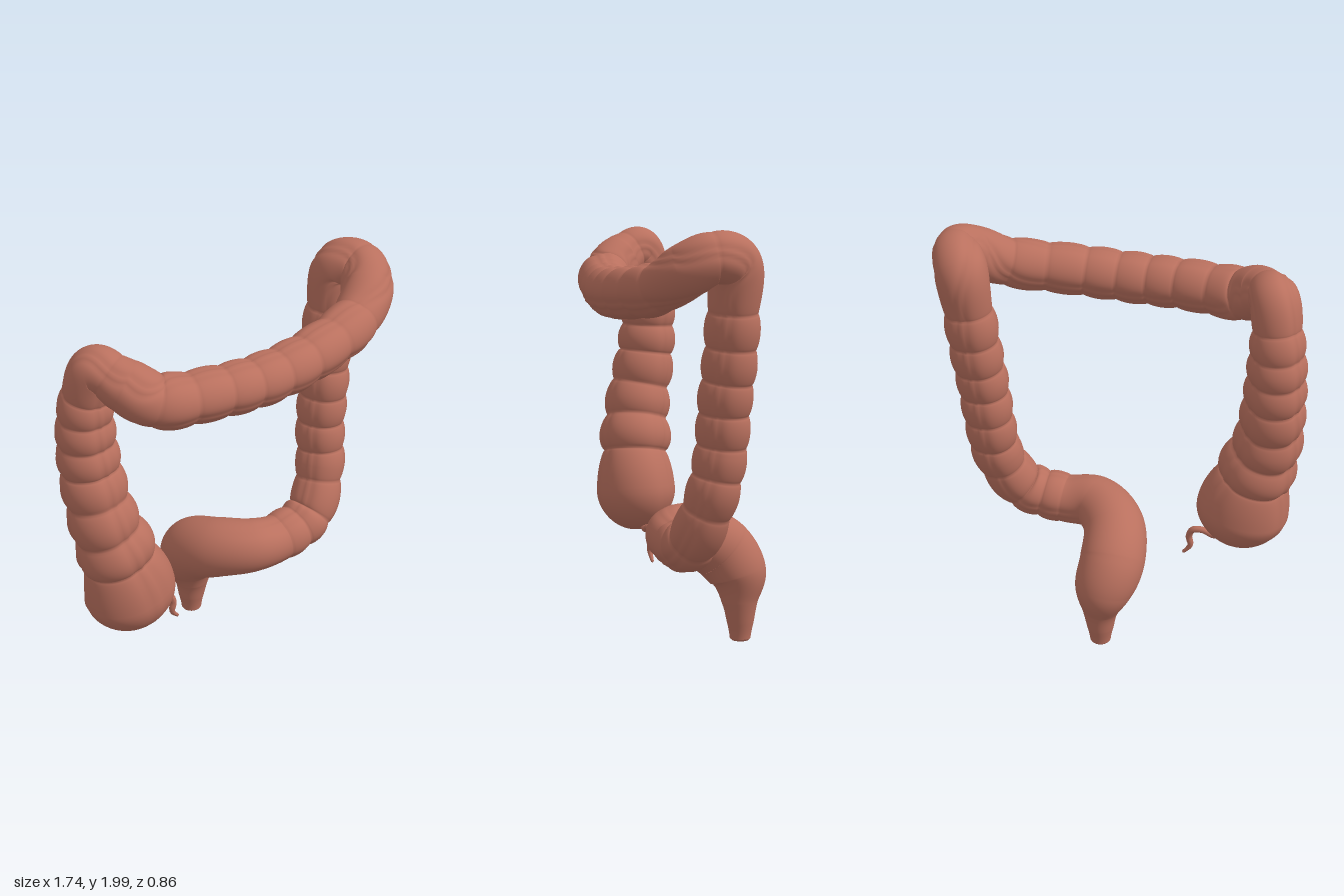
import * as THREE from 'three';

// Centreline: x, y, z, radius
const PATH = [
  [-0.57, 0.44, 0.06, 0.215], [-0.59, 0.64, 0.07, 0.222], [-0.635, 0.83, 0.065, 0.198],
  [-0.70, 1.08, 0.035, 0.165], [-0.722, 1.32, -0.01, 0.15], [-0.728, 1.52, -0.025, 0.138],
  [-0.718, 1.70, -0.015, 0.122], [-0.69, 1.835, 0.03, 0.112], [-0.62, 1.79, 0.145, 0.12],
  [-0.52, 1.72, 0.23, 0.128], [-0.25, 1.695, 0.292, 0.122], [0, 1.685, 0.312, 0.122],
  [0.27, 1.70, 0.295, 0.122], [0.58, 1.745, 0.22, 0.122], [0.72, 1.825, 0.13, 0.122],
  [0.76, 1.878, 0.03, 0.122], [0.715, 1.845, -0.07, 0.122], [0.682, 1.64, -0.08, 0.125],
  [0.658, 1.42, -0.072, 0.126], [0.636, 1.22, -0.055, 0.125], [0.617, 1.02, -0.045, 0.124],
  [0.595, 0.82, -0.01, 0.124], [0.49, 0.60, 0.05, 0.124], [0.29, 0.545, 0.065, 0.126],
  [0.13, 0.555, 0.05, 0.138], [0.01, 0.525, -0.07, 0.15], [-0.02, 0.44, -0.22, 0.155],
  [0.005, 0.32, -0.295, 0.14], [0.02, 0.19, -0.302, 0.088], [0.02, 0.09, -0.305, 0.065],
  [0.02, 0.01, -0.305, 0.05],
];

// Stretches of the tube: name, first and last point, pouches, crease depth at start and end
const SECTIONS = [
  ['cecum', 0, 2, 1, 0, 0.18],
  ['ascendingColon', 2, 6, 6, 0.18, 0.12],
  ['rightBend', 6, 9, 2, 0.12, 0.1],
  ['transverseColon', 9, 13, 7, 0.1, 0.1],
  ['leftBend', 13, 17, 2, 0.1, 0.13],
  ['descendingColon', 17, 22, 7, 0.13, 0.13],
  ['lowerBend', 22, 23, 2, 0.13, 0.07],
  ['sigmoidColon', 23, 26, 0, 0.07, 0],
  ['rectum', 26, 30, 0, 0, 0],
];

const STEPS = 28;
const SIDES = 60;
const SPANS = PATH.length - 1;

// Pouches swell between creases
function pouchScale(u) {
  const [, from, to, pouches, d0, d1] = SECTIONS.find(s => u <= s[2]);
  const t = (u - from) / (to - from);
  const swell = Math.pow(Math.abs(Math.sin(Math.PI * pouches * t)), 0.65);
  return 1 - THREE.MathUtils.lerp(d0, d1, t) * (1 - swell);
}

// Three lengthwise bands: a shallow furrow with a raised strip
function bandScale(u, angle) {
  const { smoothstep, euclideanModulo } = THREE.MathUtils;
  const third = Math.PI * 2 / 3;
  const twist = 1.15 * smoothstep(u, 13, 17.5);
  const strength = Math.min(1, u / 2) * (1 - smoothstep(u, 22.5, 25));
  const off = euclideanModulo(angle - twist + third / 2, third) - third / 2;
  return 1 + strength * (0.07 * Math.exp(-((off / 0.12) ** 2)) - 0.1 * Math.exp(-((off / 0.3) ** 2)));
}

function buildColon(material) {
  const curve = new THREE.CatmullRomCurve3(PATH.map(p => new THREE.Vector3(p[0], p[1], p[2])));
  const radii = new THREE.SplineCurve(PATH.map((p, i) => new THREE.Vector2(i, p[3])));
  const middle = new THREE.Vector3(0, 1.1, 0.3);
  const positions = [];

  for (let i = 0; i <= SPANS * STEPS; i++) {
    let u = i / STEPS;
    if (u < 1) u *= u; // closer rings on the rounded end
    const centre = curve.getPoint(u / SPANS);
    const tangent = curve.getTangent(u / SPANS);
    let radius = radii.getPoint(u / SPANS).y * pouchScale(u);
    if (u < 1) radius *= Math.sqrt(1 - (1 - u) ** 2); // blind end closes as a dome

    // Ring axes point away from the middle of the loop
    const normal = centre.clone().sub(middle);
    normal.addScaledVector(tangent, -normal.dot(tangent)).normalize();
    const side = new THREE.Vector3().crossVectors(tangent, normal);
    const flatten = THREE.MathUtils.lerp(0.88, 1, THREE.MathUtils.smoothstep(u, 1, 3)); // cecum is shallower

    for (let j = 0; j < SIDES; j++) {
      const a = j / SIDES * Math.PI * 2;
      const r = radius * bandScale(u, a);
      const p = centre.clone()
        .addScaledVector(normal, r * Math.cos(a))
        .addScaledVector(side, r * Math.sin(a));
      positions.push(p.x, p.y, THREE.MathUtils.lerp(centre.z, p.z, flatten));
    }
  }

  const index = [];
  for (let i = 0; i < SPANS * STEPS; i++) {
    for (let j = 0; j < SIDES; j++) {
      const a = i * SIDES + j, b = i * SIDES + (j + 1) % SIDES;
      index.push(a, b, a + SIDES, b, b + SIDES, a + SIDES);
    }
  }
  const whole = new THREE.BufferGeometry();
  whole.setAttribute('position', new THREE.Float32BufferAttribute(positions, 3));
  whole.setIndex(index);
  whole.computeVertexNormals();

  // Cut into named parts that share smooth normals across the joins
  const colon = new THREE.Group();
  colon.name = 'colon';
  const perSpan = STEPS * SIDES;
  for (const [name, from, to] of SECTIONS) {
    const geometry = new THREE.BufferGeometry();
    const first = from * perSpan, end = to * perSpan + SIDES;
    for (const key of ['position', 'normal']) {
      const values = whole.attributes[key].array.slice(first * 3, end * 3);
      geometry.setAttribute(key, new THREE.BufferAttribute(values, 3));
    }
    geometry.setIndex(index.slice(from * perSpan * 6, to * perSpan * 6).map(v => v - first));
    const mesh = new THREE.Mesh(geometry, material);
    mesh.name = name;
    colon.add(mesh);
  }
  return colon;
}

// Thin wavy tube, narrowed towards its tip
function buildAppendix(material) {
  const curve = new THREE.CatmullRomCurve3([
    [-0.53, 0.5, 0.05], [-0.46, 0.465, 0.05], [-0.40, 0.482, 0.05], [-0.355, 0.475, 0.05],
    [-0.335, 0.43, 0.055], [-0.342, 0.375, 0.055], [-0.305, 0.325, 0.05],
  ].map(p => new THREE.Vector3(...p)));
  const rings = 48, sides = 14;
  const geometry = new THREE.TubeGeometry(curve, rings, 1, sides);
  const pos = geometry.attributes.position;
  const p = new THREE.Vector3();
  for (let i = 0; i < pos.count; i++) {
    const t = Math.floor(i / (sides + 1)) / rings;
    const c = curve.getPointAt(t);
    const r = t > 0.999 ? 0 : 0.027 - 0.011 * Math.min(1, t * 3) - 0.009 * Math.max(0, t - 0.75) / 0.25;
    p.fromBufferAttribute(pos, i).sub(c).multiplyScalar(r).add(c);
    pos.setXYZ(i, p.x, p.y, p.z);
  }
  geometry.computeVertexNormals();
  const mesh = new THREE.Mesh(geometry, material);
  mesh.name = 'appendix';
  return mesh;
}

export function createModel() {
  const tissue = new THREE.MeshStandardMaterial({ color: 0xb9705e });
  tissue.name = 'tissue';

  const model = new THREE.Group();
  model.name = 'largeIntestine';
  model.add(buildColon(tissue), buildAppendix(tissue));

  // Rounded rim and short recess at the lower opening
  const outlet = new THREE.Mesh(new THREE.LatheGeometry([
    [0, 0.06], [0.022, 0.05], [0.03, 0.014], [0.034, 0.004], [0.041, 0], [0.047, 0.005], [0.05, 0.014],
  ].map(p => new THREE.Vector2(...p)), 40), tissue);
  outlet.name = 'outletRim';
  outlet.position.set(0.02, 0, -0.305);
  model.add(outlet);

  return model;
}
